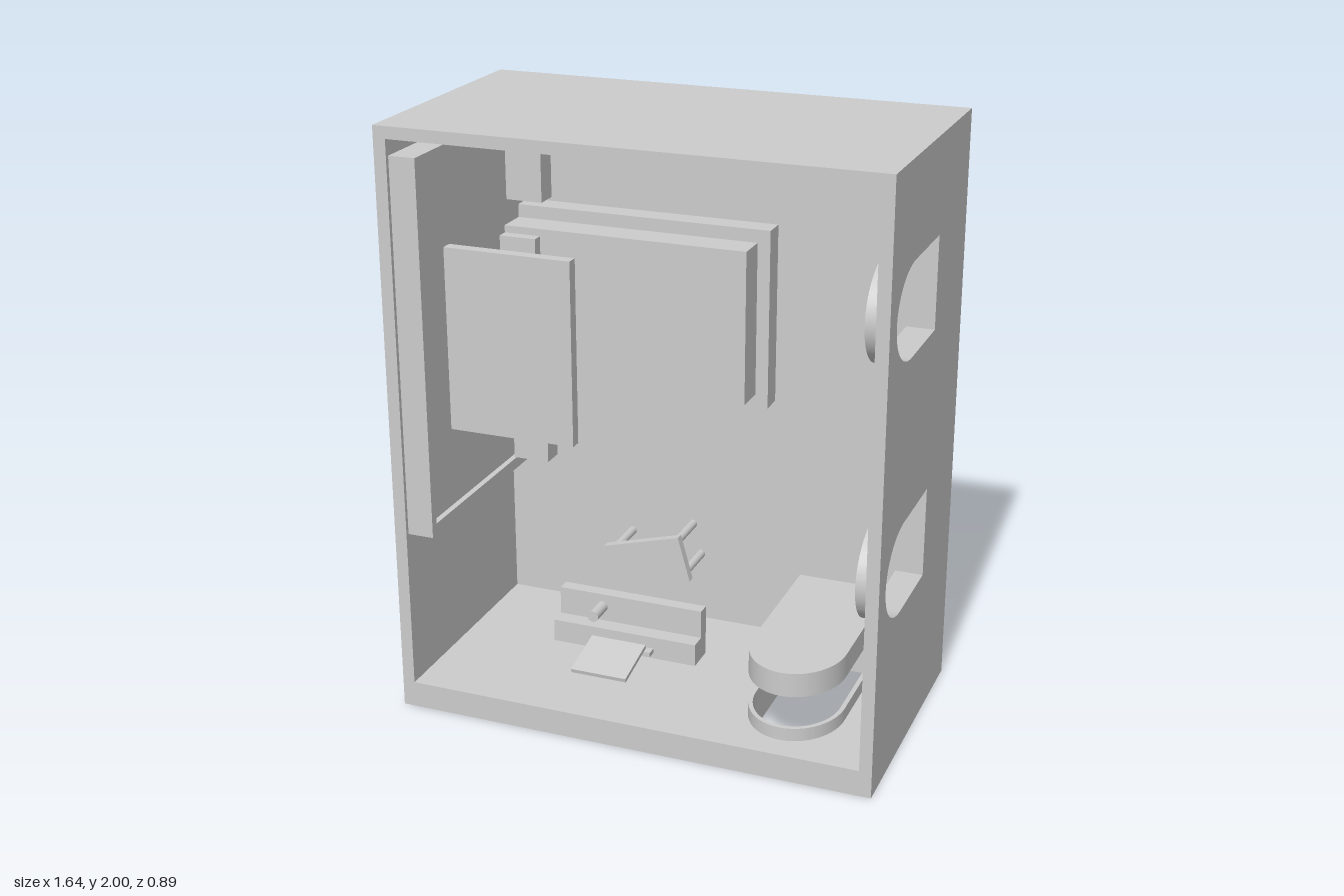
import * as THREE from 'three';
import { toCreasedNormals } from 'three/addons/utils/BufferGeometryUtils.js';

const mat = new THREE.MeshStandardMaterial({ color: 0xcccccc });

export function createModel() {
  const model = new THREE.Group();

  const add = (name, geometry, parent = model) => {
    const mesh = new THREE.Mesh(geometry, mat);
    mesh.name = name;
    parent.add(mesh);
    return mesh;
  };
  // Box given by its limits on each axis
  const box = (name, [x0, x1], [y0, y1], [z0, z1]) => {
    const m = add(name, new THREE.BoxGeometry(x1 - x0, y1 - y0, z1 - z0));
    m.position.set((x0 + x1) / 2, (y0 + y1) / 2, (z0 + z1) / 2);
    return m;
  };
  const rect = (S, u0, u1, v0, v1) => new S([
    [u0, v0], [u1, v0], [u1, v1], [u0, v1],
  ].map(([u, v]) => new THREE.Vector2(u, v)));
  // Straight sides with a half-ellipse head
  const arch = (S, centre, half, bottom, spring, top) => {
    const s = new S();
    s.moveTo(centre - half, bottom);
    s.lineTo(centre + half, bottom);
    s.lineTo(centre + half, spring);
    s.absellipse(centre, spring, half, top - spring, 0, Math.PI, false);
    s.closePath();
    return s;
  };
  const extrude = (shape, depth) => toCreasedNormals(
    new THREE.ExtrudeGeometry(shape, { depth, bevelEnabled: false, curveSegments: 28 }), 0.5);
  const X = new THREE.Vector3(1, 0, 0), Y = new THREE.Vector3(0, 1, 0), Z = new THREE.Vector3(0, 0, 1);
  // Shape in (y, z), running from x0 towards +x
  const extrudeX = (name, shape, x0, depth) => add(name, extrude(shape, depth)
    .applyMatrix4(new THREE.Matrix4().makeBasis(Y, Z, X)).translate(x0, 0, 0));
  // Shape in (x, z), running from yTop downwards
  const extrudeDown = (name, shape, yTop, depth) => add(name, extrude(shape, depth)
    .applyMatrix4(new THREE.Matrix4().makeBasis(X, Z, Y.clone().negate())).translate(0, yTop, 0));

  // Room shell, lying with its floor at the back and open at the front
  const W = 0.822, D = 0.444, floorZ = -0.36, inX = 0.78, low = 0.09, high = 1.96;
  box('floor', [-W, W], [0, 2], [-D, floorZ]);
  box('leftWall', [-W, -inX], [low, high], [floorZ, D]);
  box('topWall', [-W, W], [high, 2], [floorZ, D]);

  // Side wall with two arched windows and their casings
  const sideWall = rect(THREE.Shape, low, high, floorZ, D);
  for (const y of [0.683, 1.528]) {
    sideWall.holes.push(arch(THREE.Path, y, 0.153, -0.095, 0.18, 0.37));
    const casing = arch(THREE.Shape, y, 0.168, -0.11, 0.18, 0.385);
    casing.holes.push(arch(THREE.Path, y, 0.153, -0.095, 0.18, 0.37));
    extrudeX('windowCasing', casing, 0.73, inX - 0.73);
  }
  extrudeX('windowWall', sideWall, inX, W - inX);

  // Bottom wall with an arched doorway, casing and detached door
  const doorX = 0.488, doorHole = [doorX, 0.145, -0.325, 0.16, 0.34], doorOuter = [doorX, 0.16, -0.34, 0.16, 0.355];
  const doorWall = rect(THREE.Shape, -W, W, floorZ, D);
  doorWall.holes.push(arch(THREE.Path, ...doorHole));
  extrudeDown('doorWall', doorWall, low, low);
  const doorCasing = arch(THREE.Shape, ...doorOuter);
  doorCasing.holes.push(arch(THREE.Path, ...doorHole));
  extrudeDown('doorCasing', doorCasing, 0.135, 0.135 - low);
  extrudeDown('door', arch(THREE.Shape, ...doorOuter), 0.333, 0.083);

  // Wall panels along the top wall
  for (const x of [-0.47, -0.02, 0.418]) {
    box('wallPanel', [x - 0.168, x + 0.168], [1.935, high], [-0.1, 0.25]);
  }

  // Headboard with a raised rim
  box('headboard', [-inX, -0.71], [0.635, 1.905], [floorZ, 0.43]);
  const rim = rect(THREE.Shape, 0.635, 1.905, -0.45, 0.43);
  rim.holes.push(rect(THREE.Path, 0.675, 1.865, -0.41, 0.4));
  extrudeX('headboardRim', rim, -0.71, 0.02);

  // Bed, pillow, canopy and bedside tables
  box('bedBase', [-0.69, 0.217], [0.96, 1.58], [floorZ, -0.28]);
  box('mattress', [-0.69, 0.173], [1.005, 1.535], [-0.285, -0.17]);
  box('pillow', [-0.69, -0.56], [1.03, 1.51], [-0.17, -0.13]);
  box('canopy', [-0.69, -0.253], [0.96, 1.58], [0.23, 0.27]);
  for (const y of [0.682, 1.62]) {
    box('bedsideTable', [-0.69, -0.56], [y, y + 0.225], [-0.27, -0.19]);
  }

  // Desk, cup and open laptop
  box('deskTop', [-0.465, 0.063], [low, 0.27], [-0.11, -0.064]);
  box('deskShelf', [-0.465, 0.063], [low, 0.17], [-0.064, -0.005]);
  const cup = add('cup', new THREE.CylinderGeometry(0.02, 0.02, 0.085, 24));
  cup.rotation.x = Math.PI / 2;
  cup.position.set(-0.306, 0.223, -0.022);
  box('laptopBase', [-0.305, -0.09], [0.112, 0.128], [-0.005, 0.03]);
  const screen = add('laptopScreen', new THREE.BoxGeometry(0.2, 0.014, 0.185));
  screen.position.set(-0.207, 0.127, 0.115);
  screen.rotation.x = 0.22;

  // Stool turned away from the desk
  const stool = new THREE.Group();
  stool.name = 'stool';
  stool.position.set(-0.18, 0.365, 0);
  stool.rotation.z = 0.27;
  model.add(stool);
  add('stoolSeat', new THREE.BoxGeometry(0.29, 0.165, 0.03), stool).position.z = -0.18;
  for (const sx of [-1, 1]) for (const sy of [-1, 1]) {
    const leg = add('stoolLeg', new THREE.CylinderGeometry(0.015, 0.015, 0.17, 16), stool);
    leg.rotation.x = Math.PI / 2;
    leg.position.set(sx * 0.12, sy * 0.058, -0.28);
  }
  return model;
}
